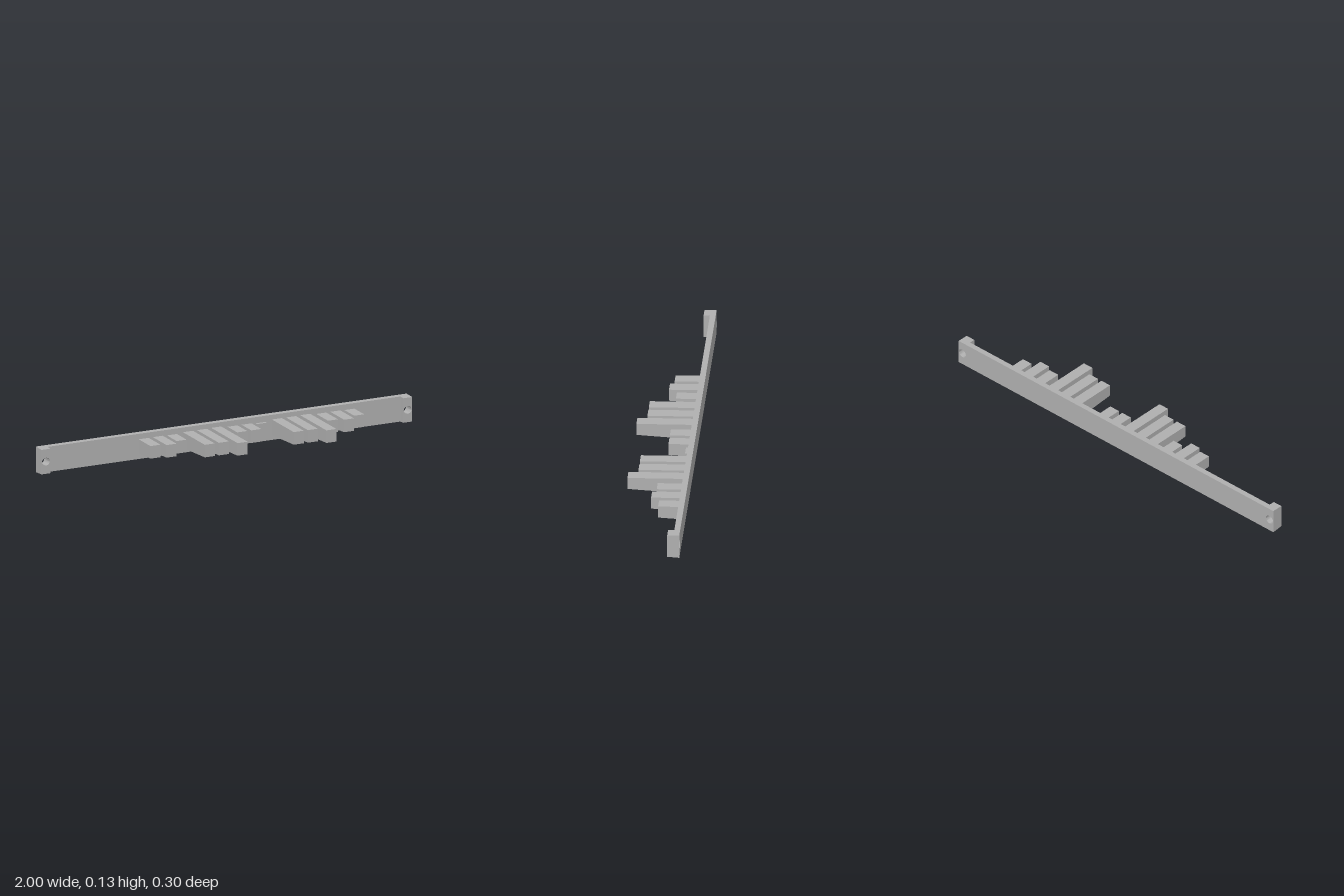
import * as THREE from 'three';
import { toCreasedNormals } from 'three/addons/utils/BufferGeometryUtils.js';

const MID_Y = 0.0635;
const BACK_Z = -0.148;
const PLATE_FRONT = -0.12;
const BOSS_FRONT = -0.09;

// Narrow the height of a part towards its front, about the centre line
function draft(geometry, slope, fromZ) {
  const p = geometry.attributes.position;
  for (let i = 0; i < p.count; i++) {
    const y = p.getY(i) - MID_Y;
    p.setY(i, MID_Y + y - Math.sign(y) * slope * (p.getZ(i) - fromZ));
  }
  geometry.computeVertexNormals();
  return geometry;
}

function box(x0, x1, y0, y1, z0, z1) {
  const g = new THREE.BoxGeometry(x1 - x0, y1 - y0, z1 - z0).toNonIndexed();
  return g.translate((x0 + x1) / 2, (y0 + y1) / 2, (z0 + z1) / 2);
}

export function createModel() {
  const group = new THREE.Group();
  group.name = 'toothedBar';
  const grey = new THREE.MeshStandardMaterial({ color: 0xb0b0b0 });
  grey.name = 'grey';

  const add = (name, geometry) => {
    const mesh = new THREE.Mesh(geometry, grey);
    mesh.name = name;
    group.add(mesh);
  };

  // Long back plate between the end blocks
  add('backPlate', draft(box(-0.952, 0.952, 0, 0.127, BACK_Z, PLATE_FRONT), 0.05, BACK_Z));

  // Thicker end blocks, each with a screw hole right through
  for (const side of [-1, 1]) {
    const cx = side * 0.976;
    const shape = new THREE.Shape();
    shape.moveTo(cx - 0.024, 0);
    shape.lineTo(cx + 0.024, 0);
    shape.lineTo(cx + 0.024, 0.127);
    shape.lineTo(cx - 0.024, 0.127);
    shape.closePath();
    const hole = new THREE.Path();
    hole.absarc(cx, MID_Y, 0.022, 0, Math.PI * 2, true);
    shape.holes.push(hole);
    const g = new THREE.ExtrudeGeometry(shape, {
      depth: BOSS_FRONT - BACK_Z, bevelEnabled: false, curveSegments: 16,
    });
    g.translate(0, 0, BACK_Z);
    add(side > 0 ? 'leftEndBlock' : 'rightEndBlock', toCreasedNormals(draft(g, 0.05, BACK_Z), 0.6));
  }

  // Teeth as [centre x, front z]; tips share one height, sides widen to the plate
  const teeth = [
    [-0.433, 0], [-0.357, 0.02], [-0.281, -0.02],
    [-0.194, 0.102], [-0.118, 0.102], [-0.042, 0.148],
    [0.046, -0.02], [0.122, -0.02], [0.198, -0.106],
    [0.286, 0.102], [0.362, 0.102], [0.438, 0.148],
    [0.525, 0], [0.601, 0.02], [0.677, -0.02],
  ];
  for (const [x, z] of teeth) {
    const g = box(x - 0.027, x + 0.027, MID_Y - 0.031, MID_Y + 0.031, PLATE_FRONT - 0.005, z);
    add('tooth', draft(g, 0.036, z));
  }

  return group;
}
